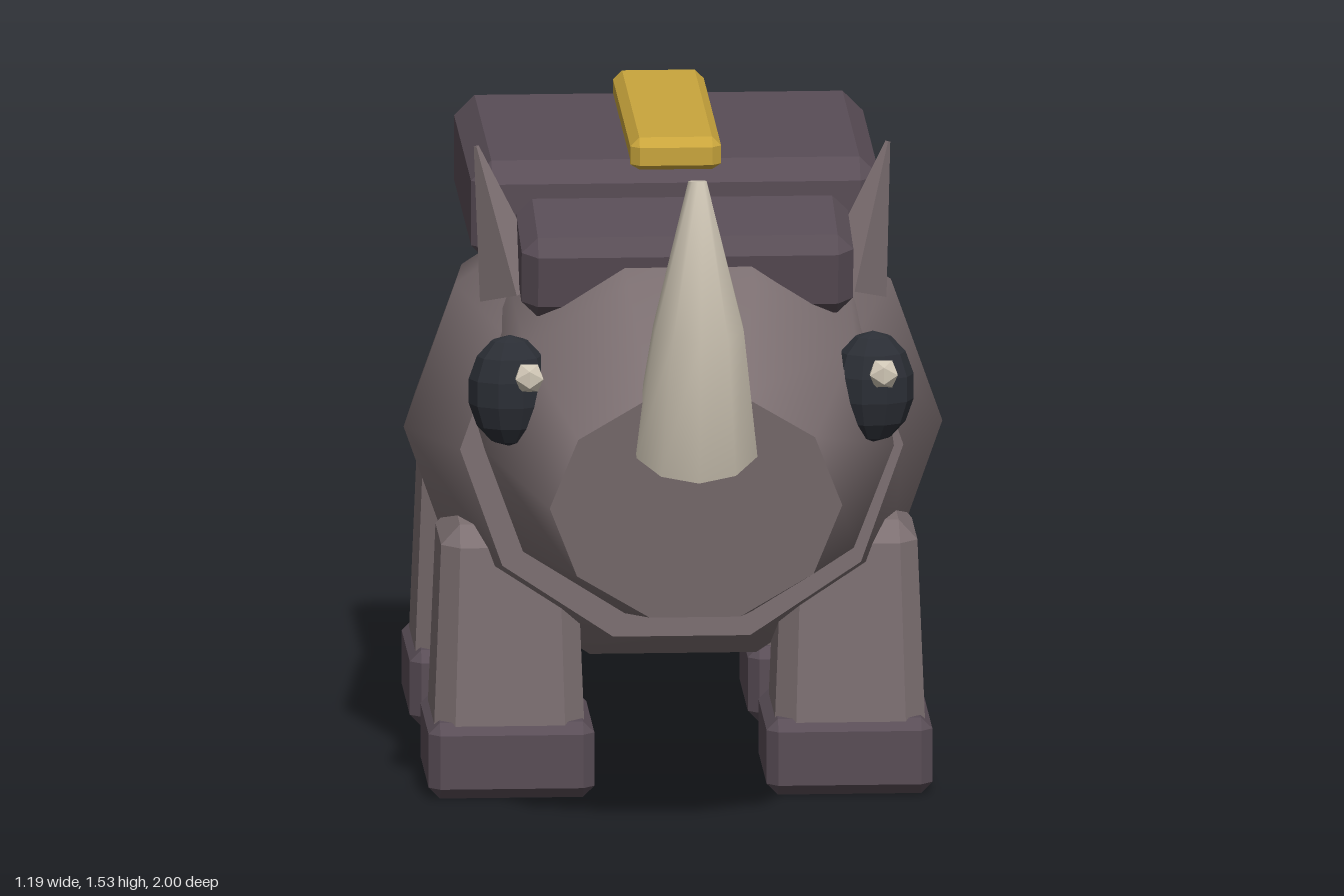
import * as THREE from 'three';
import { ConvexGeometry } from 'three/addons/geometries/ConvexGeometry.js';

const paint = (name, color, flatShading = false) => {
  const m = new THREE.MeshStandardMaterial({ color, flatShading });
  m.name = name;
  return m;
};

// Loft through elliptical rings [y, z, rx, ry, tilt], with flat end caps
function loft(rings, sides, start = 0) {
  const pos = [], idx = [];
  const addRing = ([y, z, rx, ry, tilt = 0]) => {
    for (let i = 0; i < sides; i++) {
      const a = start + (i / sides) * Math.PI * 2, s = ry * Math.sin(a);
      pos.push(rx * Math.cos(a), y + s * Math.cos(tilt), z + s * Math.sin(tilt));
    }
  };
  rings.forEach(addRing);
  for (let k = 0; k < rings.length - 1; k++) {
    for (let i = 0; i < sides; i++) {
      const a = k * sides + i, b = k * sides + (i + 1) % sides;
      idx.push(a, b, b + sides, a, b + sides, a + sides);
    }
  }
  const first = rings.length * sides, last = first + sides;
  addRing(rings[0]);
  addRing(rings[rings.length - 1]);
  for (let i = 1; i < sides - 1; i++) {
    idx.push(first, first + i + 1, first + i, last, last + i, last + i + 1);
  }
  const g = new THREE.BufferGeometry();
  g.setAttribute('position', new THREE.Float32BufferAttribute(pos, 3));
  g.setIndex(idx);
  g.computeVertexNormals();
  return g;
}

// Box with chamfered edges; the top is scaled by taper
function chamferBox(w, h, d, b, taper = 1) {
  const points = [];
  for (const sx of [-1, 1]) for (const sy of [-1, 1]) for (const sz of [-1, 1]) {
    for (let axis = 0; axis < 3; axis++) {
      const inset = [b, b, b];
      inset[axis] = 0;
      const y = sy * (h / 2 - inset[1]);
      const k = THREE.MathUtils.lerp(1, taper, y / h + 0.5);
      points.push(new THREE.Vector3(sx * (w / 2 - inset[0]) * k, y, sz * (d / 2 - inset[2]) * k));
    }
  }
  return new ConvexGeometry(points);
}

// Faceted spike running from base to tip
function spike(base, tip, r0, r1, sides, spin = 0, flatten = 1) {
  const from = new THREE.Vector3(...base), dir = new THREE.Vector3(...tip).sub(from);
  const len = dir.length();
  const g = new THREE.CylinderGeometry(r1, r0, len, sides);
  g.rotateY(spin).scale(flatten, 1, 1).translate(0, len / 2, 0);
  g.applyQuaternion(new THREE.Quaternion().setFromUnitVectors(new THREE.Vector3(0, 1, 0), dir.normalize()));
  return g.translate(...base);
}

export function createModel() {
  const model = new THREE.Group();
  const hide = paint('hide', 0x7d7072);
  hide.side = THREE.FrontSide;
  const armor = paint('armor', 0x594d56);
  const gold = paint('gold', 0xc9a53c);
  const ivory = paint('ivory', 0xcfc6b5);
  const eyeBlack = paint('eye black', 0x2b2e35);
  const add = (name, geometry, material, x = 0, y = 0, z = 0) => {
    const m = new THREE.Mesh(geometry, material);
    m.name = name;
    m.position.set(x, y, z);
    model.add(m);
    return m;
  };
  const faceted = (g) => {
    const f = g.index ? g.toNonIndexed() : g;
    f.computeVertexNormals();
    return f;
  };

  // Barrel body and drooping head
  add('body', loft([
    [0.715, -1, 0.32, 0.3],
    [0.733, -0.65, 0.54, 0.492],
    [0.772, -0.13, 0.593, 0.543],
    [0.795, 0.22, 0.488, 0.447],
  ], 10), hide);
  add('head', loft([
    [0.88, 0.08, 0.46, 0.445, 0.17],
    [0.86, 0.53, 0.45, 0.41, 0.17],
    [0.785, 0.795, 0.322, 0.275, 0.17],
  ], 10), hide);

  // Curved nose horn and small brow horn
  add('noseHorn', loft([
    [0.922, 0.793, 0.14, 0.14, -1.147],
    [1.21, 0.9, 0.103, 0.103, -1.47],
    [1.53, 0.853, 0.021, 0.021, -1.7],
  ], 10, -Math.PI / 2), ivory);
  add('browHorn', faceted(spike([0, 1.19, 0.55], [0, 1.41, 0.602], 0.055, 0.005, 5, Math.PI)), gold);

  // Armour plates
  add('backPlate', chamferBox(0.9, 0.235, 0.77, 0.045), armor, 0, 1.272, -0.37);
  add('backStripe', chamferBox(0.2, 0.08, 0.735, 0.02), gold, 0, 1.4, -0.367);
  add('headPlate', chamferBox(0.73, 0.185, 0.3, 0.035), armor, 0, 1.25, 0.335).rotation.x = 0.17;

  for (const side of [-1, 1]) {
    const label = side > 0 ? 'left' : 'right';
    // Ears
    add(label + 'Ear', faceted(spike([side * 0.37, 1.16, 0.28], [side * 0.453, 1.48, 0.233],
      0.1, 0.007, 4, 0, 0.8)), hide);
    // Eyes with a glint on the same side of each
    const eye = faceted(new THREE.SphereGeometry(1, 10, 7).scale(0.092, 0.125, 0.069));
    add(label + 'Eye', eye, eyeBlack, side * 0.4, 1.01, 0.603);
    add(label + 'EyeGlint', new THREE.IcosahedronGeometry(0.036, 0).scale(1, 1, 0.8), ivory,
      side * 0.39 + 0.03, 1.05, 0.663);
    // Legs and feet
    for (const [end, z] of [['Front', 0.01], ['Back', -0.745]]) {
      add(label + end + 'Leg', chamferBox(0.335, 0.505, 0.345, 0.045, 0.88), hide, side * 0.375, 0.3525, z);
      add(label + end + 'Foot', chamferBox(0.365, 0.17, 0.375, 0.025), armor, side * 0.372, 0.085, z);
    }
  }
  return model;
}
